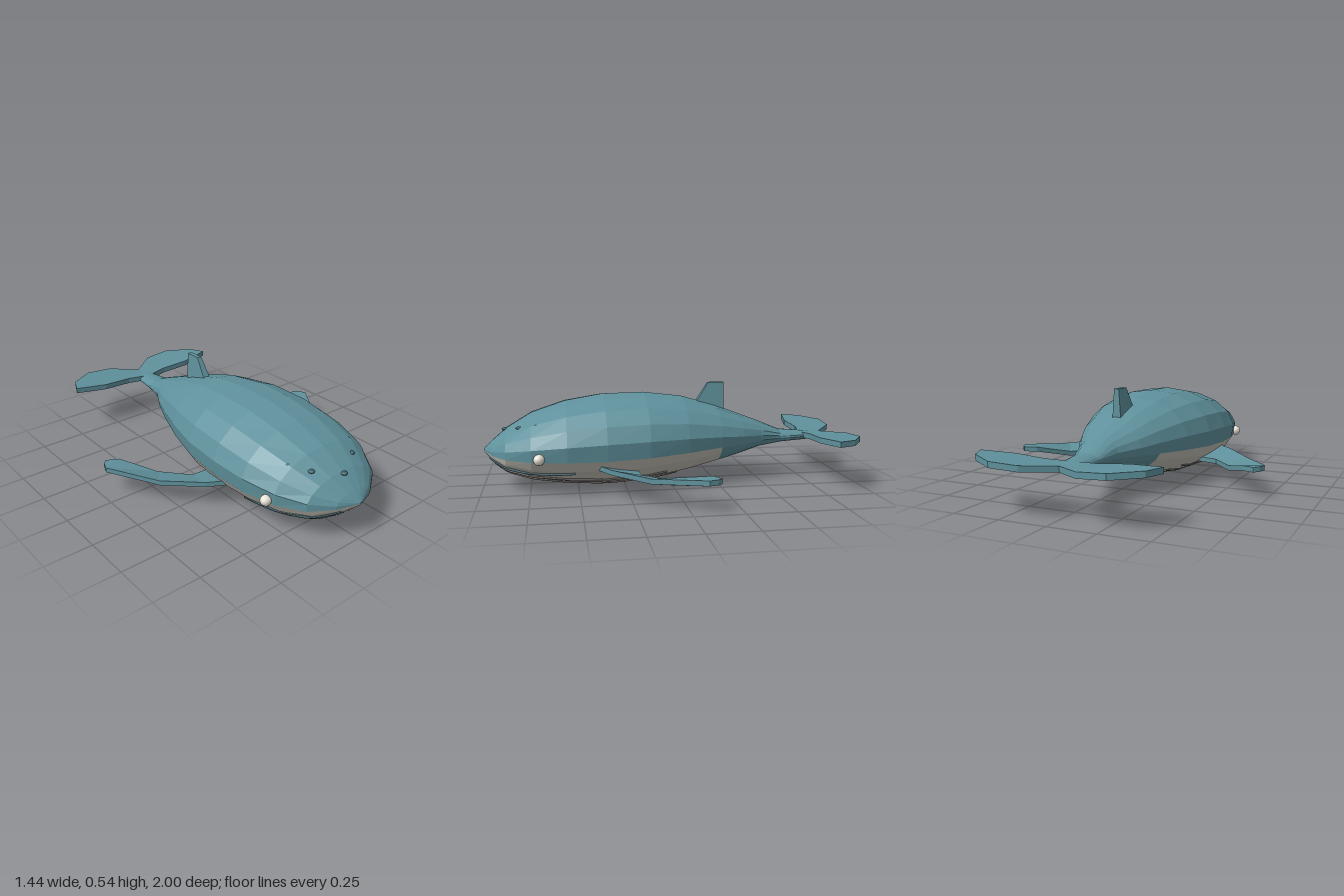
import * as THREE from 'three';

const mat = (name, color) => {
  const m = new THREE.MeshStandardMaterial({ color });
  m.name = name;
  return m;
};

// body stations from nose to tail: z, half width, top y, bottom y, height of the belly line
const STATIONS = [
  [0.995, 0.004, 0.206, 0.194, 0.2],
  [0.95, 0.12, 0.25, 0.15, 0.192],
  [0.87, 0.232, 0.318, 0.092, 0.187],
  [0.74, 0.312, 0.397, 0.05, 0.184],
  [0.56, 0.355, 0.457, 0.024, 0.184],
  [0.36, 0.366, 0.49, 0.011, 0.187],
  [0.14, 0.352, 0.495, 0.024, 0.195],
  [-0.07, 0.3, 0.47, 0.06, 0.205],
  [-0.26, 0.232, 0.417, 0.106, 0.215],
  [-0.39, 0.177, 0.367, 0.14, 0.22],
  [-0.51, 0.108, 0.322, 0.175, 0.225],
  [-0.64, 0.072, 0.268, 0.196, 0.227],
  [-0.84, 0.05, 0.25, 0.21, 0.23],
  [-0.845, 0.002, 0.231, 0.229, 0.23],
];
const BELLY_END = 8;

// interpolated section at z: half width, centre height, half height
function sectionAt(z) {
  let i = 0;
  while (i < STATIONS.length - 2 && STATIONS[i + 1][0] > z) i++;
  const a = STATIONS[i], b = STATIONS[i + 1];
  const t = (z - a[0]) / (b[0] - a[0]);
  const [w, top, bot] = [1, 2, 3].map((k) => a[k] + (b[k] - a[k]) * t);
  return { w, c: (top + bot) / 2, h: (top - bot) / 2 };
}

// unshared corners give every face its own flat normal
function facets(quads) {
  const pos = [];
  for (const [a, b, c, d] of quads) pos.push(...a, ...b, ...c, ...a, ...c, ...d);
  const g = new THREE.BufferGeometry();
  g.setAttribute('position', new THREE.Float32BufferAttribute(pos, 3));
  g.computeVertexNormals();
  return g;
}

// arc of one station, above or below the belly line
function arc([z, w, top, bot, line], upper, n = 10) {
  const c = (top + bot) / 2, h = (top - bot) / 2;
  const a0 = Math.asin(THREE.MathUtils.clamp((line - c) / h, -0.8, 0.8));
  const from = upper ? a0 : Math.PI - a0;
  const to = upper ? Math.PI - a0 : 2 * Math.PI + a0;
  return Array.from({ length: n + 1 }, (_, i) => {
    const t = from + ((to - from) * i) / n;
    return [w * Math.cos(t), c + h * Math.sin(t), z];
  });
}

function skin(stations, upper) {
  const rings = stations.map((s) => arc(s, upper));
  const quads = [];
  for (let r = 0; r < rings.length - 1; r++)
    for (let i = 0; i < rings[r].length - 1; i++)
      quads.push([rings[r][i], rings[r + 1][i], rings[r + 1][i + 1], rings[r][i + 1]]);
  return quads;
}

// slab through [lead xyz, trail xyz] sections, running outwards; side -1 mirrors it
function finParts(sections, thick, side) {
  const p = sections.map(([lx, ly, lz, tx, ty, tz]) => ({
    L: [lx, ly, lz], T: [tx, ty, tz],
    l: [lx, ly - thick, lz], t: [tx, ty - thick, tz],
  }));
  const top = [], under = [];
  for (let i = 0; i < p.length - 1; i++) {
    const a = p[i], b = p[i + 1];
    top.push([a.L, b.L, b.T, a.T], [a.l, b.l, b.L, a.L], [a.T, b.T, b.t, a.t]);
    under.push([a.t, b.t, b.l, a.l]);
  }
  const e = p[p.length - 1];
  top.push([e.l, e.t, e.T, e.L]);
  const flip = (q) => (side > 0 ? q : q.map((v) => [-v[0], v[1], v[2]]).reverse());
  return [facets(top.map(flip)), facets(under.map(flip))];
}

export function createModel() {
  const skinMat = mat('blue grey skin', 0x5f919c);
  const bellyMat = mat('pale belly', 0xc3c0b6);
  const darkMat = mat('dark blue grey', 0x41666f);
  const grooveMat = mat('groove grey', 0x6c6a66);
  const eyeMat = mat('eye white', 0xe8e4d8);

  const model = new THREE.Group();
  model.name = 'whale';
  const add = (name, geo, material, parent = model) => {
    const m = new THREE.Mesh(geo, material);
    m.name = name;
    parent.add(m);
    return m;
  };

  // body: back, tail underside and belly
  add('back', facets([...skin(STATIONS, true), ...skin(STATIONS.slice(BELLY_END), false)]), skinMat);
  add('belly', facets(skin(STATIONS.slice(0, BELLY_END + 1), false)), bellyMat);

  const tube = (points, r) => new THREE.TubeGeometry(new THREE.CatmullRomCurve3(points), 24, r, 5);

  // throat grooves along the belly
  for (let k = -3; k <= 3; k++) {
    const phi = Math.asin(0.22 * k);
    const end = -0.08 + Math.abs(k) * 0.04;
    const pts = Array.from({ length: 15 }, (_, i) => {
      const z = 0.93 + ((end - 0.93) * i) / 14;
      const { w, c, h } = sectionAt(z);
      return new THREE.Vector3(w * Math.sin(phi), c - h * Math.cos(phi), z);
    });
    add('throatGroove', tube(pts, 0.007), grooveMat);
  }

  // pectoral fin and tail fluke sections
  const pectoral = [
    [0.28, 0.165, 0.43, 0.26, 0.12, 0.2],
    [0.4, 0.155, 0.345, 0.37, 0.115, 0.19],
    [0.56, 0.143, 0.17, 0.49, 0.115, 0.05],
    [0.72, 0.163, -0.08, 0.615, 0.16, -0.12],
    [0.705, 0.163, -0.125, 0.68, 0.162, -0.15],
  ];
  const fluke = [
    [0, 0.25, -0.76, 0, 0.25, -0.88],
    [0.13, 0.256, -0.785, 0.145, 0.26, -0.99],
    [0.297, 0.266, -0.775, 0.297, 0.268, -1.0],
    [0.477, 0.276, -0.815, 0.435, 0.274, -0.91],
  ];

  for (const side of [1, -1]) {
    const label = side > 0 ? 'left' : 'right';
    for (const [name, sections, thick] of [['PectoralFin', pectoral, 0.026], ['Fluke', fluke, 0.03]]) {
      const g = new THREE.Group();
      g.name = label + name;
      model.add(g);
      const [top, under] = finParts(sections, thick, side);
      add('finTop', top, skinMat, g);
      add('finUnderside', under, bellyMat, g);
    }

    // mouth line
    const mouth = [[0.955, 0.175], [0.92, 0.155], [0.86, 0.135], [0.78, 0.12], [0.7, 0.115], [0.6, 0.115], [0.52, 0.12]];
    add(label + 'MouthLine', tube(mouth.map(([z, y]) => {
      const { w, c, h } = sectionAt(z);
      return new THREE.Vector3(side * w * Math.sqrt(Math.max(0, 1 - ((y - c) / h) ** 2)), y, z);
    }), 0.007), darkMat);

    // eye
    add(label + 'Eye', new THREE.IcosahedronGeometry(0.029, 1), eyeMat).position.set(side * 0.325, 0.203, 0.7);
  }

  // bumps on the head
  for (const [x, y, z] of [[0, 0.31, 0.88], [0.137, 0.335, 0.8], [-0.137, 0.335, 0.8], [0.2, 0.355, 0.71], [-0.2, 0.355, 0.71]]) {
    const bump = add('headBump', new THREE.SphereGeometry(0.018, 8, 6), darkMat);
    bump.position.set(x, y, z);
    bump.scale.y = 0.5;
  }

  // dorsal fin: a box tapered towards the top
  const dorsal = new THREE.BoxGeometry(1, 1, 1).toNonIndexed();
  const p = dorsal.attributes.position;
  for (let i = 0; i < p.count; i++) {
    const up = p.getY(i) > 0, front = p.getZ(i) > 0;
    p.setXYZ(i, Math.sign(p.getX(i)) * (up ? 0.013 : 0.025), up ? 0.542 : 0.37,
      front ? (up ? -0.225 : -0.115) : -0.313);
  }
  dorsal.computeVertexNormals();
  add('dorsalFin', dorsal, skinMat);

  return model;
}
